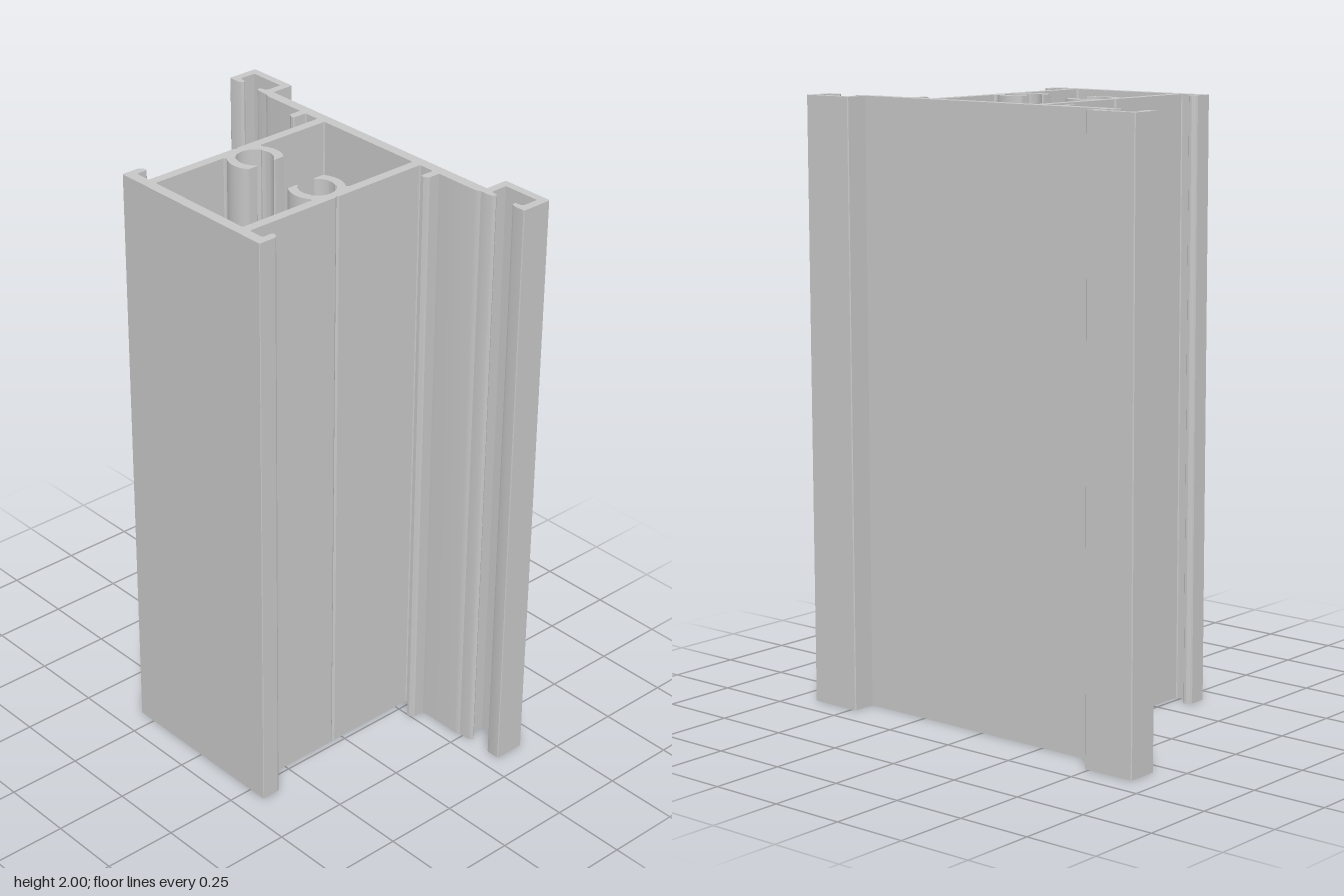
import * as THREE from 'three';
import { toCreasedNormals } from 'three/addons/utils/BufferGeometryUtils.js';

const LENGTH = 2;

// Mirrors a right-hand half contour (from the back middle to the front middle) into a
// closed counter-clockwise loop of [x, z]
const closeLoop = (half) => {
  const mirrored = half.slice(1, -1).reverse().map(([x, z]) => [-x, z]);
  return [...half, ...mirrored].reverse().map(([x, z]) => new THREE.Vector2(x, -z));
};

// Points on a screw port circle; 0 degrees faces the wall, positive turns to the back
const PORT = [0.14, 0.038];
const arc = (radius, from, to, steps) => Array.from({ length: steps + 1 }, (_, i) => {
  const a = THREE.MathUtils.degToRad(from + (to - from) * i / steps);
  return [PORT[0] + radius * Math.cos(a), PORT[1] - radius * Math.sin(a)];
});

export function createModel() {
  const aluminium = new THREE.MeshStandardMaterial({ color: 0xc6c6c6 });

  const outer = [
    // back plate and raised channel
    [0, -0.335], [0.483, -0.335], [0.483, -0.412], [0.486, -0.415],
    [0.662, -0.415], [0.665, -0.412], [0.665, -0.309], [0.662, -0.307],
    // outer channel lip
    [0.624, -0.307], [0.614, -0.311], [0.609, -0.32], [0.612, -0.326], [0.632, -0.328], [0.638, -0.334],
    [0.638, -0.388], [0.51, -0.388],
    // inner channel lip
    [0.51, -0.334], [0.516, -0.328], [0.533, -0.326], [0.537, -0.32], [0.532, -0.311], [0.522, -0.307],
    [0.486, -0.307], [0.479, -0.303], [0.468, -0.3],
    // clip rib behind the wall
    [0.315, -0.3], [0.315, -0.261], [0.312, -0.256], [0.3, -0.249], [0.291, -0.249], [0.288, -0.252],
    [0.288, -0.297], [0.285, -0.3],
    // wall with a fine marking groove
    [0.235, -0.3], [0.232, -0.297], [0.232, 0.031], [0.227, 0.038], [0.232, 0.045],
    [0.232, 0.377], [0.235, 0.38],
    // front flange with its clip rib
    [0.285, 0.38], [0.288, 0.377], [0.288, 0.344], [0.291, 0.341], [0.3, 0.341], [0.312, 0.349],
    [0.315, 0.355], [0.315, 0.413], [0.313, 0.415], [0, 0.415],
  ];

  // Back half of a screw port, running from the wall round the tip to the inside
  const portBack = [
    [0.2, -0.038], [0.197, -0.034],
    ...arc(0.087, 54, 125, 10),
    [0.089, -0.027], [0.089, 0.002], [0.092, 0.005], [0.097, 0.002],
    ...arc(0.057, 135, 62, 8),
    ...arc(0.061, 58, 0, 6),
  ];
  const portFront = portBack.slice(0, -1).reverse().map(([x, z]) => [x, 2 * PORT[1] - z]);

  const chamber = [
    [0, -0.3], [0.196, -0.3], [0.2, -0.296],
    ...portBack, ...portFront,
    [0.2, 0.376], [0.196, 0.38], [0, 0.38],
  ];

  // Extrude the section and stand it upright
  const section = new THREE.Shape(closeLoop(outer));
  section.holes.push(new THREE.Path(closeLoop(chamber)));
  const geometry = new THREE.ExtrudeGeometry(section, { depth: LENGTH, bevelEnabled: false });
  geometry.rotateX(-Math.PI / 2);

  const profile = new THREE.Mesh(toCreasedNormals(geometry, 0.45), aluminium);
  profile.name = 'extrudedProfile';

  const model = new THREE.Group();
  model.name = 'frameProfile';
  model.add(profile);
  return model;
}
